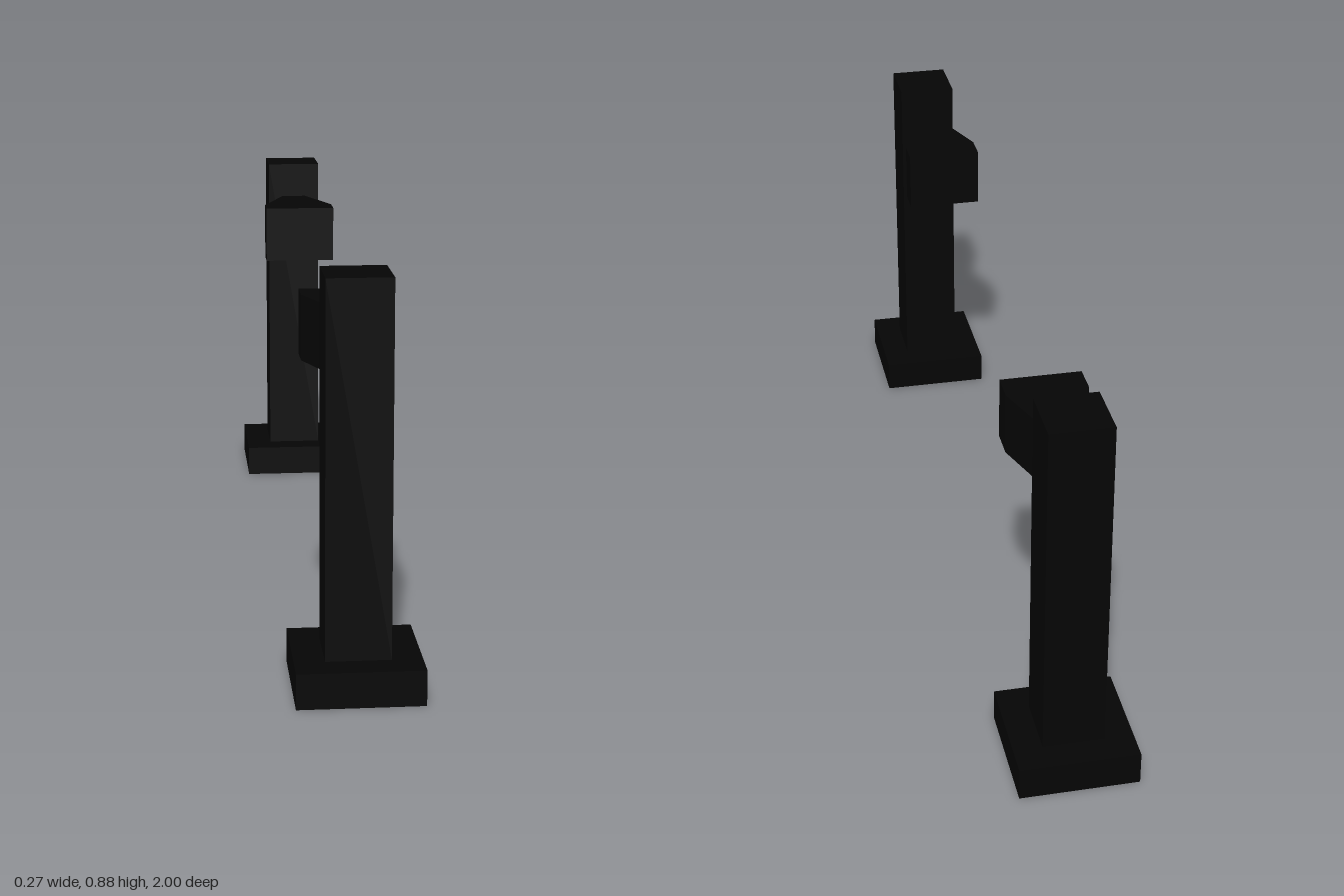
import * as THREE from 'three';

const material = new THREE.MeshStandardMaterial({ color: 0x050505 });

// Extrudes a plan outline (x, z) upwards from y0 to y1
function slab(name, shape, y0, y1) {
  const g = new THREE.ExtrudeGeometry(shape, { depth: y1 - y0, bevelEnabled: false });
  g.rotateX(Math.PI / 2);
  g.translate(0, y1, 0);
  const mesh = new THREE.Mesh(g, material);
  mesh.name = name;
  return mesh;
}

const outline = (pts) => pts.map(([x, z]) => new THREE.Vector2(x, z));
const square = (half, z) => outline([[-half, z - half], [half, z - half], [half, z + half], [-half, z + half]]);

function createPost(name, headEnd) {
  const post = new THREE.Group();
  post.name = name;
  const z = 0.866;

  // Square foot, hollow underneath the shaft
  const foot = new THREE.Shape(square(0.134, z));
  foot.holes.push(new THREE.Path(square(0.068, z)));
  post.add(slab('foot', foot, 0, 0.077));

  // Upright shaft
  post.add(slab('shaft', new THREE.Shape(square(0.069, z)), 0.077, 0.876));

  // Flared head, narrow where it meets the shaft
  const flare = headEnd + 0.066;
  const head = new THREE.Shape(outline([
    [-0.03, 0.80], [-0.09, flare], [-0.09, headEnd],
    [0.09, headEnd], [0.09, flare], [0.03, 0.80],
  ]));
  post.add(slab('flaredHead', head, 0.645, 0.787));
  return post;
}

export function createModel() {
  const model = new THREE.Group();
  model.name = 'postPair';

  const front = createPost('frontPost', 0.575);
  front.position.x = 0.002;
  front.getObjectByName('flaredHead').position.x = -0.005;

  // Facing post, turned half round
  const back = createPost('backPost', 0.566);
  back.rotation.y = Math.PI;
  back.position.x = -0.003;

  model.add(front, back);
  return model;
}
